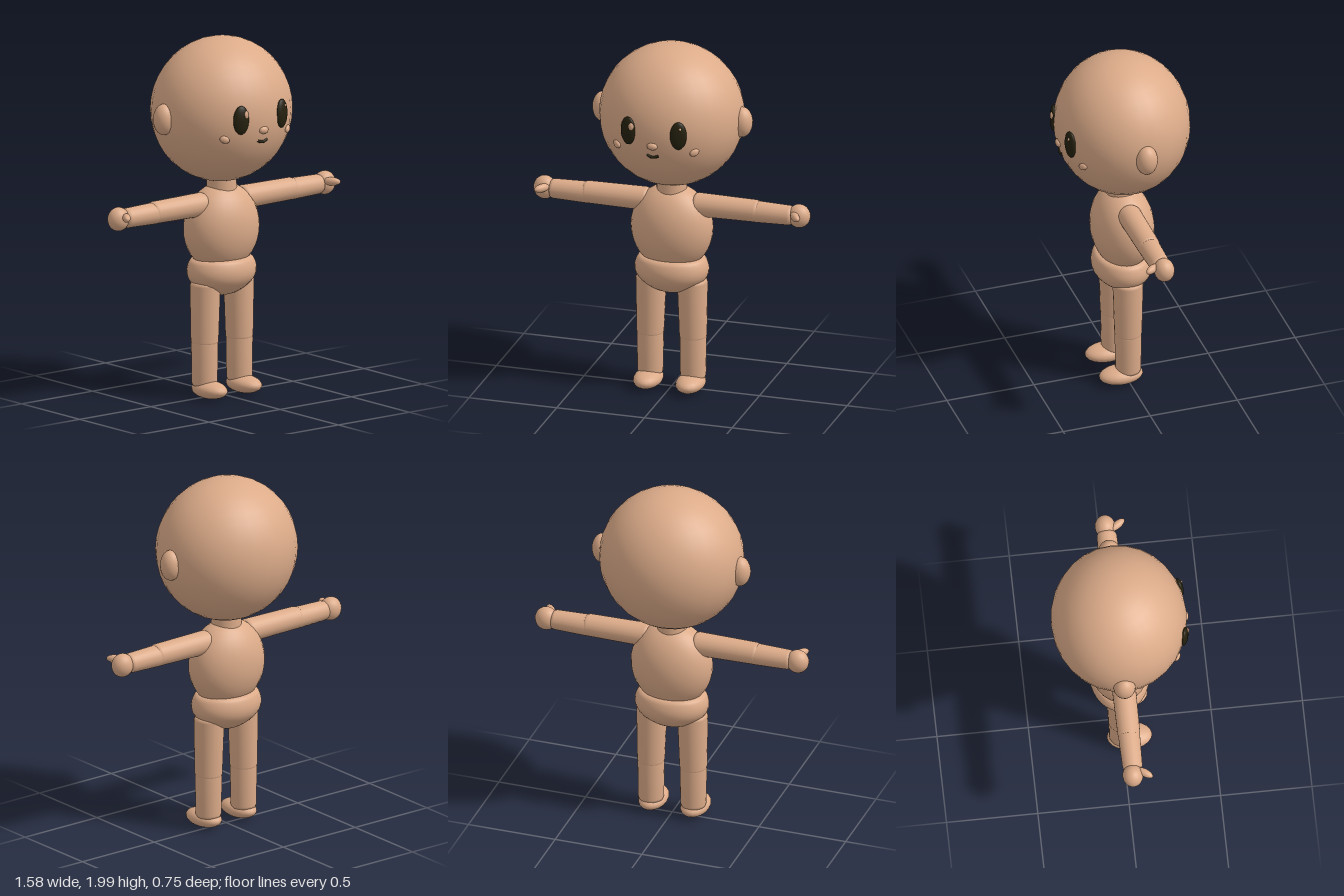
import * as THREE from 'three';

export function createModel() {
  const skin = new THREE.MeshStandardMaterial({ color: 0xdcab89 });
  skin.name = 'skin';
  const dark = new THREE.MeshStandardMaterial({ color: 0x25210f });
  dark.name = 'dark';
  const model = new THREE.Group();
  model.name = 'figure';

  const add = (name, geometry, material, pos = [0, 0, 0], rot = [0, 0, 0]) => {
    const mesh = new THREE.Mesh(geometry, material);
    mesh.name = name;
    mesh.position.set(...pos);
    mesh.rotation.set(...rot);
    model.add(mesh);
    return mesh;
  };
  const ball = (name, pos, radii, material = skin, rot, seg = 20) =>
    add(name, new THREE.SphereGeometry(1, seg, Math.round(seg * 0.7)).scale(...radii), material, pos, rot);

  // Rounded limb along y, from 0 to length
  const limb = (name, r0, r1, length, pos, rot) => {
    const b = 0.015;
    const profile = [
      [0, 0], [r0 - b, 0], [r0 - b * 0.3, b * 0.4], [r0, b * 1.4],
      [r1, length - b * 1.4], [r1 - b * 0.3, length - b * 0.4], [r1 - b, length], [0, length],
    ].map(([x, y]) => new THREE.Vector2(x, y));
    return add(name, new THREE.LatheGeometry(profile, 24), skin, pos, rot);
  };

  // Head, neck and torso
  ball('head', [0, 1.6, -0.005], [0.4, 0.4, 0.371], skin, undefined, 28);
  add('neck', new THREE.CylinderGeometry(0.08, 0.085, 0.12, 24), skin, [0, 1.19, -0.003]);
  ball('torso', [0, 0.94, -0.005], [0.23, 0.248, 0.171], skin, undefined, 28);

  // Pelvis: a bowl with a soft rim
  const bowl = new THREE.SplineCurve([
    [0, 0.56], [0.075, 0.573], [0.14, 0.605], [0.19, 0.65], [0.207, 0.695],
    [0.2, 0.74], [0.175, 0.772], [0.1, 0.78], [0, 0.78],
  ].map(([x, y]) => new THREE.Vector2(x, y)));
  add('pelvis', new THREE.LatheGeometry(bowl.getPoints(24), 32).scale(1, 1, 0.79), skin, [0, 0, -0.003]);

  // Face
  ball('nose', [0, 1.54, 0.359], [0.03, 0.021, 0.018]);
  const smile = new THREE.QuadraticBezierCurve3(
    new THREE.Vector3(-0.032, 1.484, 0.344),
    new THREE.Vector3(0, 1.463, 0.355),
    new THREE.Vector3(0.032, 1.484, 0.344));
  add('mouth', new THREE.TubeGeometry(smile, 12, 0.008, 8), dark);
  ball('rightEyeHighlight', [-0.121, 1.641, 0.358], [0.015, 0.022, 0.009]);
  ball('leftEyeHighlight', [0.157, 1.655, 0.354], [0.007, 0.008, 0.006]);

  for (const [side, s] of [['left', 1], ['right', -1]]) {
    ball(side + 'Eye', [s * 0.143, 1.61, 0.339], [0.046, 0.08, 0.021], dark, [0, s * 0.28, 0]);
    ball(side + 'Cheek', [s * 0.221, 1.505, 0.293], [0.028, 0.02, 0.013], skin, [0, s * 0.6, s * 0.35]);
    ball(side + 'Ear', [s * 0.397, 1.59, -0.015], [0.058, 0.086, 0.06]);

    // Arm held straight out to the side
    const out = [0, 0, -s * Math.PI / 2];
    limb(side + 'UpperArm', 0.066, 0.062, 0.37, [s * 0.13, 1.085, 0], out);
    limb(side + 'Forearm', 0.06, 0.055, 0.23, [s * 0.46, 1.082, 0], out);
    ball(side + 'Hand', [s * 0.725, 1.083, -0.004], [0.063, 0.066, 0.056]);
    ball(side + 'Thumb', [s * 0.722, 1.1, 0.062], [0.022, 0.023, 0.05], skin, [0, s * 0.62, 0]);

    // Leg and foot
    limb(side + 'Thigh', 0.076, 0.084, 0.35, [s * 0.122, 0.3, 0], [0, 0, s * 0.012]);
    limb(side + 'Shin', 0.071, 0.074, 0.26, [s * 0.122, 0.07, 0]);
    ball(side + 'Foot', [s * 0.121, 0.055, 0.041], [0.079, 0.049, 0.124]);
  }
  return model;
}
